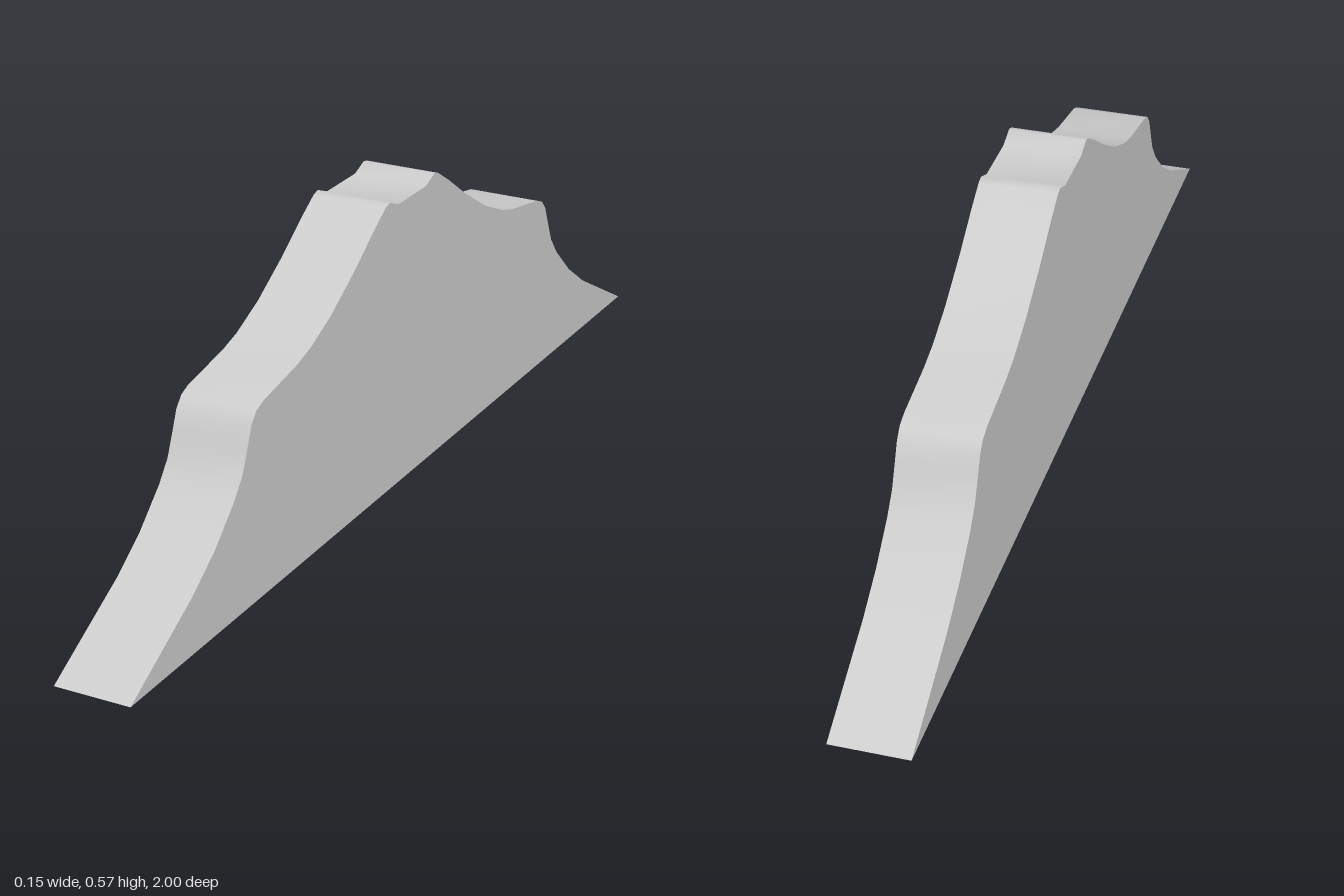
import * as THREE from 'three';
import { toCreasedNormals } from 'three/addons/utils/BufferGeometryUtils.js';

const WIDTH = 0.148;

// Half of the stepped ridge outline, from the foot to the notch in the crest
const HALF_PROFILE = [
  [1, 0], [0.8, 0.108], [0.725, 0.16], [0.66, 0.22], [0.63, 0.258],
  [0.612, 0.3], [0.597, 0.337], [0.58, 0.357], [0.555, 0.367],
  [0.44, 0.387], [0.39, 0.401], [0.315, 0.434], [0.225, 0.488],
  [0.15, 0.54], [0.105, 0.568], [0.09, 0.572], [0.055, 0.558],
];

export function createModel() {
  const group = new THREE.Group();
  group.name = 'steppedRidge';

  // Mirror the half outline to close the whole silhouette
  const mirrored = HALF_PROFILE.map(([z, y]) => [-z, y]).reverse();
  const outline = [...HALF_PROFILE, ...mirrored].map(([z, y]) => new THREE.Vector2(z, y));

  // Extrude across the width, then turn the outline into the z-y plane
  const extruded = new THREE.ExtrudeGeometry(new THREE.Shape(outline), {
    depth: WIDTH,
    bevelEnabled: false,
  });
  extruded.translate(0, 0, -WIDTH / 2);
  extruded.rotateY(-Math.PI / 2);

  // Smooth along the slopes, sharp at the sides and base
  const ridge = new THREE.Mesh(
    toCreasedNormals(extruded, 1.1),
    new THREE.MeshStandardMaterial({ color: 0xcccccc })
  );
  ridge.name = 'ridgeBody';
  group.add(ridge);
  return group;
}
